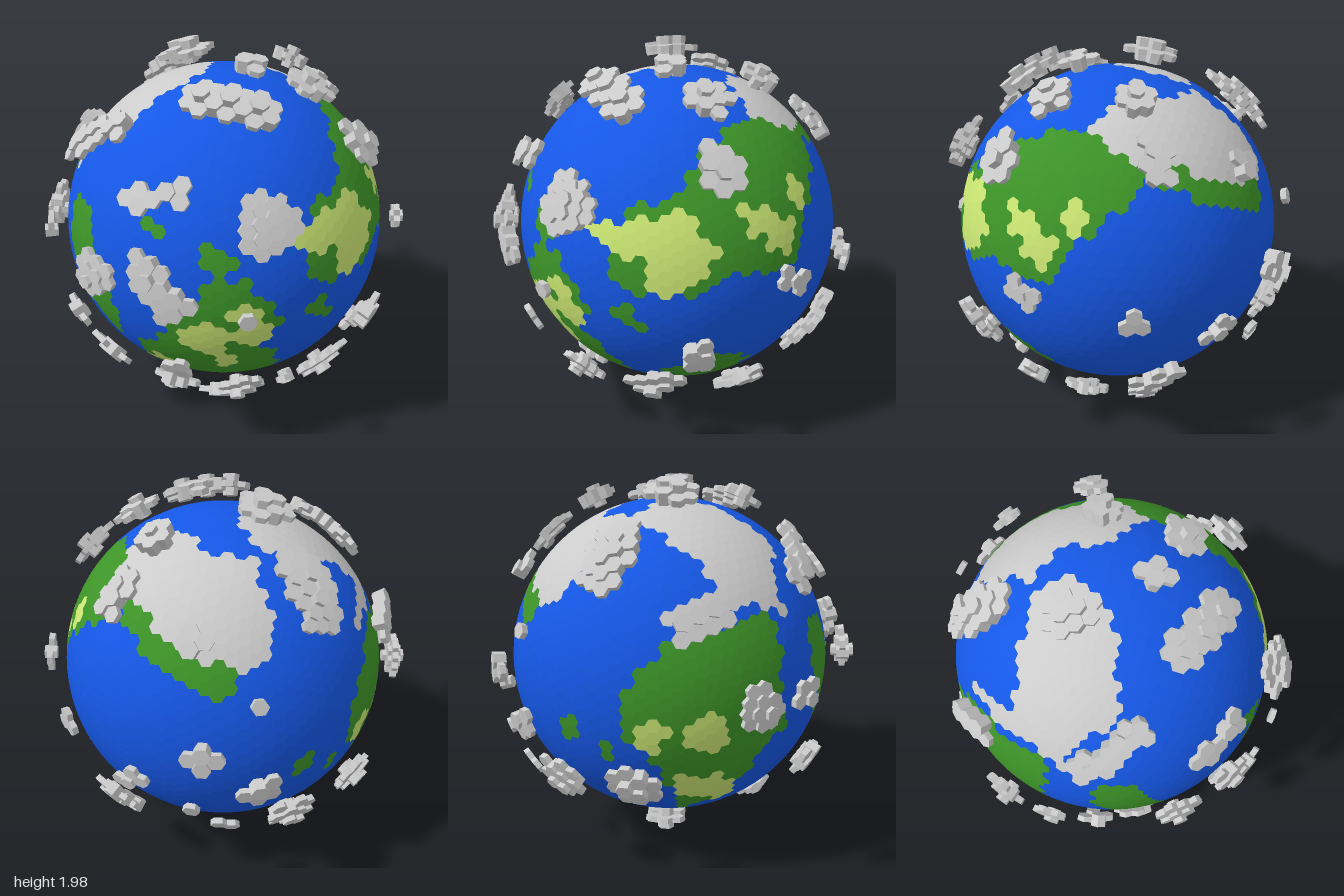
import * as THREE from 'three';

const RADIUS = 0.85, CLOUD_RADIUS = 0.94;
const HALF_THICKNESS = [0.015, 0.033, 0.058];
const rad = THREE.MathUtils.degToRad;

// Unit direction for a longitude (0 = front, 90 = left side) and latitude
const direction = (lon, lat) => new THREE.Vector3(
  Math.sin(rad(lon)) * Math.cos(rad(lat)), Math.sin(rad(lat)), Math.cos(rad(lon)) * Math.cos(rad(lat)));

// Flat map of the half globe facing one direction
function makeMap(lon, lat) {
  const out = direction(lon, lat), right = direction(lon + 90, 0);
  return { out, right, up: out.clone().cross(right) };
}
const FRONT = makeMap(0, 0), SIDE = makeMap(90, 0), TOP = makeMap(0, 90), BACK = makeMap(215, 25);

// Coastlines as [u, v, u, v, ...] on a map; later entries paint over earlier ones
const COASTS = [
  ['grass', BACK, [0, -.07, .39, .1, .52, .1, .58, -.4, .34, -.7, .09, -.84, -.08, -.56, -.21, -.5, -.2, -.28]],
  ['grass', BACK, [.68, .12, .77, .18, .83, 0, .78, -.32]],
  ['grass', SIDE, [-.8, .3, -.45, .6, -.2, .71, .1, .66, .7, .42, .74, .27, .2, .54, -.03, .37, -.28, .08, -.7, .1]],
  ['grass', SIDE, [-.6, -.4, -.42, -.4, -.3, -.5, -.3, -.7, -.6, -.55]],
  ['grass', FRONT, [.18, .4, .36, .43, .5, .57, .45, .7, .6, .6, .8, .1, .66, .13, .5, 0, .15, .05]],
  ['grass', FRONT, [-.35, .1, -.15, .12, .02, -.15, -.15, -.3, .02, -.36, .1, -.65, -.3, -.78, -.62, -.4, -.46, -.08]],
  ['grass', FRONT, [.1, -.63, .3, -.6, .5, -.4, .62, -.4, .5, -.6, .1, -.72]],
  ['grass', FRONT, [-.83, .05, -.76, .05, -.65, -.4, -.82, -.2]],
  ['ice', TOP, [-.02, .37, -.55, .38, -.42, .64, -.6, .45, -.75, .1, -.53, -.12, -.2, -.06, -.04, .02]],
  ['ice', TOP, [.02, .38, .07, .7, .25, .73, .5, .52, .6, .1, .48, -.1, .2, .08, .22, .25]],
];

// Round patches as [u, v, radius] on a map
const PATCHES = [
  ['grass', FRONT, [[.2, -.1, .05], [.28, -.16, .03], [-.52, .32, .05], [-.33, .24, .05], [-.25, .2, .05]]],
  ['grass', BACK, [[-.46, -.43, .05], [-.28, -.53, .04]]],
  ['desert', BACK, [[-.07, -.46, .08], [.2, -.45, .1], [.09, -.7, .07], [.25, -.71, .08]]],
  ['desert', SIDE, [[-.7, .25, .11], [-.4, .33, .07], [-.3, .24, .09], [-.14, .38, .07]]],
  ['desert', FRONT, [[.4, .34, .08], [.42, .13, .12], [-.17, -.06, .07], [-.33, -.22, .12], [-.1, -.18, .09], [-.22, -.4, .07], [-.48, -.5, .06]]],
];

// Clouds as [radius, longitude, latitude], long ones with further points along a path
const ROUND_CLOUDS = [
  [.16, -5, 25], [.13, -59, 4], [.11, 20, 78], [.13, 50, 61], [.13, 46, 39], [.08, 17, -52], [.08, -34, -25],
  [.03, -12, -2], [.12, -51, -59], [.14, -153, -79], [.12, 73, -60], [.1, 60, -36], [.08, 99, -2], [.11, 148, 2],
  [.07, 143, -19], [.06, 155, -30], [.1, 165, -10], [.14, 178, -27], [.12, 107, 63], [.09, 144, 35], [.15, -135, 76],
  [.13, -116, 1], [.09, -100, 1], [.14, -154, -24], [.03, 164, 17], [.12, -69, -34], [.11, -86, -25],
];
const LONG_CLOUDS = [
  [.11, -41, 11, -33, 2], [.07, -48, 30, -31, 34], [.11, -30, 63, 1, 57], [.1, 19, -37, 27, -33], [.09, 37, -20, 38, -15],
  [.11, -10, -37, -19, -47], [.09, 106, -44, 104, -34, 113, -27], [.07, 123, -12, 129, -9], [.07, 64, 5, 69, 1],
  [.09, 109, 46, 108, 40], [.13, -166, 52, -168, 41], [.09, -139, 25, -128, 28], [.09, -89, 35, -81, 41, -71, 48],
];

// Hexagon tiles: one around every vertex of a subdivided icosahedron
function hexTiles(detail) {
  const pos = new THREE.IcosahedronGeometry(1, detail).getAttribute('position');
  const tiles = new Map();
  for (let i = 0; i < pos.count; i += 3) {
    const tri = [0, 1, 2].map(k => new THREE.Vector3().fromBufferAttribute(pos, i + k));
    const corner = tri[0].clone().add(tri[1]).add(tri[2]).normalize();
    for (const p of tri) {
      const key = p.toArray().map(c => Math.round(c * 1000)).join();
      if (!tiles.has(key)) tiles.set(key, { dir: p.normalize(), corners: [] });
      tiles.get(key).corners.push(corner);
    }
  }
  for (const { dir, corners } of tiles.values()) {
    const e1 = corners[0].clone().projectOnPlane(dir).normalize();
    const e2 = dir.clone().cross(e1);
    const angle = c => Math.atan2(c.dot(e2), c.dot(e1));
    corners.sort((a, b) => angle(a) - angle(b));
  }
  return [...tiles.values()];
}

function insideCoast(u, v, o) {
  let inside = false;
  for (let i = 0, j = o.length - 2; i < o.length; j = i, i += 2) {
    if ((o[i + 1] > v) !== (o[j + 1] > v) &&
      u < (o[j] - o[i]) * (v - o[i + 1]) / (o[j + 1] - o[i + 1]) + o[i]) inside = !inside;
  }
  return inside;
}

const insidePatch = (u, v, patches) => patches.some(([a, b, r]) => Math.hypot(u - a, v - b) < r);

function terrainAt(dir) {
  let terrain = 'ocean';
  const paint = (areas, contains) => {
    for (const [kind, map, data] of areas) {
      const u = dir.dot(map.right) * RADIUS, v = dir.dot(map.up) * RADIUS;
      if (dir.dot(map.out) > 0 && contains(u, v, data)) terrain = kind;
    }
  };
  paint(COASTS, insideCoast);
  paint(PATCHES, insidePatch);
  return terrain;
}

// Fan of triangles over a convex ring
function addFan(out, ring) {
  for (let i = 1; i < ring.length - 1; i++) {
    for (const p of [ring[0], ring[i], ring[i + 1]]) out.push(p.x, p.y, p.z);
  }
}

const ringAt = (tile, radius) => tile.corners.map(c => c.clone().multiplyScalar(radius));

// Hexagonal prism between two radii
function addPrism(out, tile, inner, outer) {
  const lo = ringAt(tile, inner), hi = ringAt(tile, outer);
  addFan(out, hi);
  addFan(out, [...lo].reverse());
  lo.forEach((p, i) => {
    const j = (i + 1) % lo.length;
    addFan(out, [p, lo[j], hi[j], hi[i]]);
  });
}

function makeMesh(name, coords, material) {
  const geometry = new THREE.BufferGeometry();
  geometry.setAttribute('position', new THREE.Float32BufferAttribute(coords, 3));
  geometry.computeVertexNormals();
  const mesh = new THREE.Mesh(geometry, material);
  mesh.name = name;
  return mesh;
}

// Floating hexagons, thicker towards the middle of the cloud
function cloudCoords(tiles, [radius, ...path]) {
  const points = [];
  for (let i = 0; i < path.length; i += 2) points.push(direction(path[i], path[i + 1]));
  const near = new THREE.Vector3();
  const depthOf = dir => Math.max(...points.map((p, i) => {
    new THREE.Line3(p, points[i + 1] ?? p.clone().multiplyScalar(1.01)).closestPointToPoint(dir, true, near);
    return radius - 0.02 - near.normalize().distanceTo(dir) * CLOUD_RADIUS;
  }));
  const ranked = tiles.map(tile => ({ tile, depth: depthOf(tile.dir) })).sort((a, b) => b.depth - a.depth);
  const out = [];
  ranked.forEach(({ tile, depth }, n) => {
    if (n > 0 && depth < 0) return;
    const half = HALF_THICKNESS[depth > 0.075 ? 2 : depth > 0.035 ? 1 : 0];
    addPrism(out, tile, CLOUD_RADIUS - half, CLOUD_RADIUS + half);
  });
  return out;
}

export function createModel() {
  const model = new THREE.Group();
  model.name = 'hexPlanet';
  model.position.set(0.01, 1, -0.01);
  const tiles = hexTiles(15);

  // Globe surface, one mesh per terrain
  const colors = { ocean: 0x1557e6, grass: 0x3d9428, desert: 0xcbe673, ice: 0xcccccc };
  const terrains = tiles.map(t => terrainAt(t.dir));
  for (const kind in colors) {
    const coords = [];
    tiles.forEach((t, i) => { if (terrains[i] === kind) addFan(coords, ringAt(t, RADIUS)); });
    model.add(makeMesh(kind, coords, new THREE.MeshStandardMaterial({ color: colors[kind], flatShading: true })));
  }

  // Clouds
  const clouds = new THREE.Group();
  clouds.name = 'clouds';
  const cloudMaterial = new THREE.MeshStandardMaterial({ color: 0xcccccc, flatShading: true });
  for (const cloud of ROUND_CLOUDS) clouds.add(makeMesh('roundCloud', cloudCoords(tiles, cloud), cloudMaterial));
  for (const cloud of LONG_CLOUDS) clouds.add(makeMesh('longCloud', cloudCoords(tiles, cloud), cloudMaterial));
  model.add(clouds);
  return model;
}
